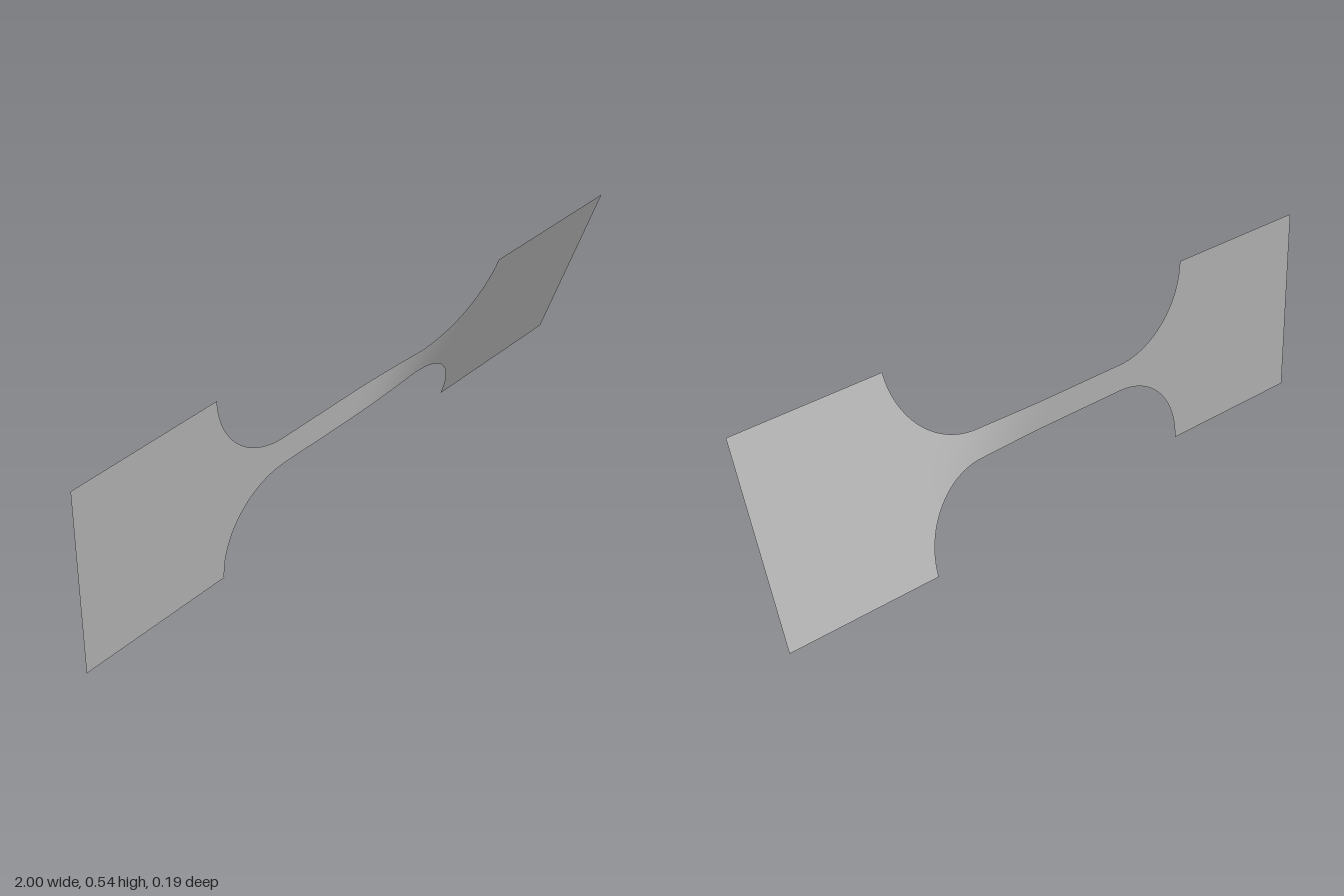
import * as THREE from 'three';

const END = 1, SHOULDER = 0.51, NECK = 0.27; // stations along x
const HALF_NECK = 0.04, HALF_GRIP = 0.272;
const TWIST = THREE.MathUtils.degToRad(20);

// Stations [x, half width] of one half: straight neck, fillet arc, wide grip
function halfOutline() {
  const list = [];
  for (let i = 0; i < 18; i++) list.push([(NECK * i) / 18, HALF_NECK]);
  const steps = 28;
  for (let i = 0; i <= steps; i++) {
    const a = (i / steps) * Math.PI / 2;
    list.push([
      NECK + (SHOULDER - NECK) * Math.sin(a),
      HALF_NECK + (HALF_GRIP - HALF_NECK) * (1 - Math.cos(a)),
    ]);
  }
  list.push([0.75, HALF_GRIP], [END, HALF_GRIP]);
  return list;
}

export function createModel() {
  const grey = new THREE.MeshStandardMaterial({ color: 0xc0c0c0, side: THREE.DoubleSide });
  grey.name = 'grey';

  // Mirror the half outline to get the full strip
  const half = halfOutline();
  const stations = [...half.slice(1).reverse().map(([x, h]) => [-x, h]), ...half];

  // Thin sheet, following the outline and twisting towards its left end
  const rows = 8, n = stations.length;
  const geometry = new THREE.PlaneGeometry(2, 2, n - 1, rows);
  const pos = geometry.attributes.position;
  for (let i = 0; i < pos.count; i++) {
    const [x, h] = stations[i % n];
    const r = h * pos.getY(i);
    const angle = TWIST * THREE.MathUtils.smoothstep(x, 0, 0.45);
    pos.setXYZ(i, x, HALF_GRIP + r * Math.cos(angle), r * Math.sin(angle));
  }
  geometry.computeVertexNormals();

  const strip = new THREE.Mesh(geometry, grey);
  strip.name = 'twistedStrip';
  const model = new THREE.Group();
  model.name = 'tensileSpecimen';
  model.add(strip);
  return model;
}
